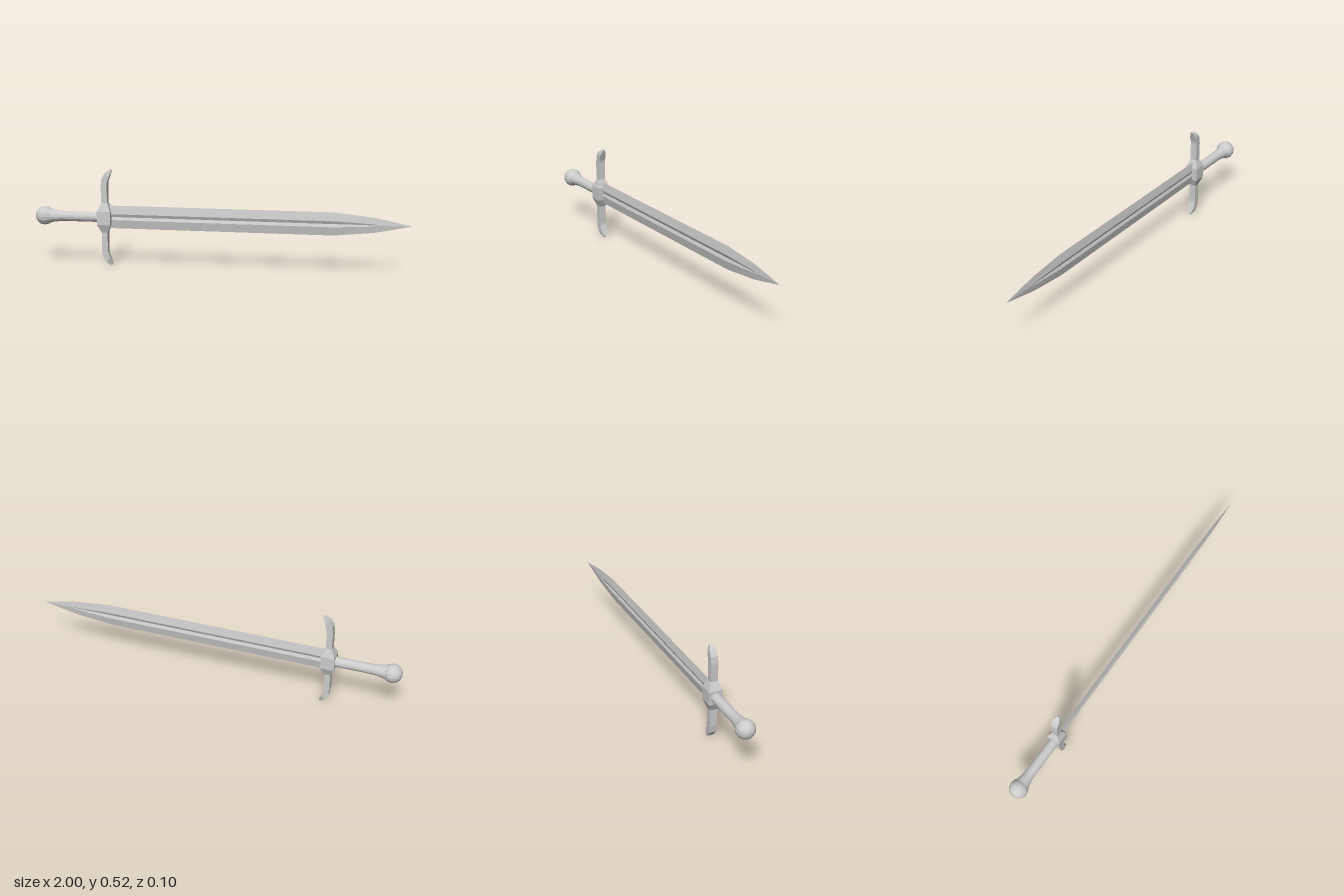
import * as THREE from 'three';

const AXIS = 0.2635; // height of the sword's long axis

const material = new THREE.MeshStandardMaterial({ color: 0xcccccc, flatShading: true, side: THREE.DoubleSide });

// Joins rings of [x, y, z] corners into a closed, capped skin.
function loft(rings, name) {
  const n = rings[0].length;
  const index = [];
  for (let r = 0; r < rings.length - 1; r++) {
    for (let i = 0; i < n; i++) {
      const a = r * n + i, b = r * n + (i + 1) % n;
      index.push(a, b, a + n, b, b + n, a + n);
    }
  }
  const last = (rings.length - 1) * n;
  for (let i = 1; i < n - 1; i++) {
    index.push(0, i + 1, i, last, last + i, last + i + 1);
  }
  const geometry = new THREE.BufferGeometry();
  geometry.setAttribute('position', new THREE.Float32BufferAttribute(rings.flat(2), 3));
  geometry.setIndex(index);
  geometry.computeVertexNormals();
  const mesh = new THREE.Mesh(geometry, material);
  mesh.name = name;
  return mesh;
}

// Blade: two hollow-ground edges with a central groove that fades near the tip.
function makeBlade() {
  // x, half width, ridge offset, ridge half thickness, groove half thickness
  const stations = [
    [-0.61, 0.0615, 0.016, 0.009, 0.002],
    [0.6, 0.0615, 0.016, 0.009, 0.002],
    [0.8, 0.041, 0.006, 0.005, 0.003],
    [0.84, 0.034, 0.002, 0.004, 0.004],
    [1.0, 0.0004, 0.0001, 0.0003, 0.0003],
  ];
  return loft(stations.map(([x, w, o, t, g]) => [
    [w, 0], [o, t], [0, g], [-o, t], [-w, 0], [-o, -t], [0, -g], [o, -t],
  ].map(([y, z]) => [x, AXIS + 0.003 + y, z])), 'blade');
}

// Crossguard: a thick middle, with mirrored arms curling towards the blade.
function makeGuard() {
  // pommel-side x and height, blade-side x and height, half depth
  const arm = [
    [-0.655, 0.036, -0.583, 0.036, 0.036],
    [-0.634, 0.08, -0.602, 0.08, 0.019],
    [-0.635, 0.175, -0.602, 0.178, 0.019],
    [-0.629, 0.214, -0.6, 0.194, 0.019],
    [-0.611, 0.242, -0.591, 0.22, 0.019],
    [-0.586, 0.2615, -0.578, 0.255, 0.007],
  ];
  const half = (s) => arm.map(([xl, yl, xr, yr, z]) => [
    [xl, AXIS + s * yl, z], [xl, AXIS + s * yl, -z],
    [xr, AXIS + s * yr, -z], [xr, AXIS + s * yr, z],
  ]);
  return loft([...half(-1).reverse(), ...half(1)], 'crossguard');
}

// Turned part along x from [x, radius] pairs.
function turned(profile, sides, name) {
  const points = profile.map(([x, r]) => new THREE.Vector2(r, x));
  const geometry = new THREE.LatheGeometry(points, sides);
  geometry.rotateZ(-Math.PI / 2);
  const mesh = new THREE.Mesh(geometry, material);
  mesh.position.y = AXIS;
  mesh.name = name;
  return mesh;
}

export function createModel() {
  const sword = new THREE.Group();
  sword.name = 'sword';

  // Grip with a flared neck below the pommel
  const grip = turned([
    [-0.925, 0.04], [-0.9, 0.034], [-0.87, 0.029], [-0.84, 0.027], [-0.63, 0.027],
  ], 16, 'grip');

  // Round pommel
  const ball = [];
  for (let i = 0; i <= 10; i++) {
    const a = Math.PI * i / 10;
    ball.push([-0.95 - 0.05 * Math.cos(a), 0.05 * Math.sin(a)]);
  }
  const pommel = turned(ball, 16, 'pommel');

  sword.add(makeBlade(), makeGuard(), grip, pommel);
  return sword;
}
